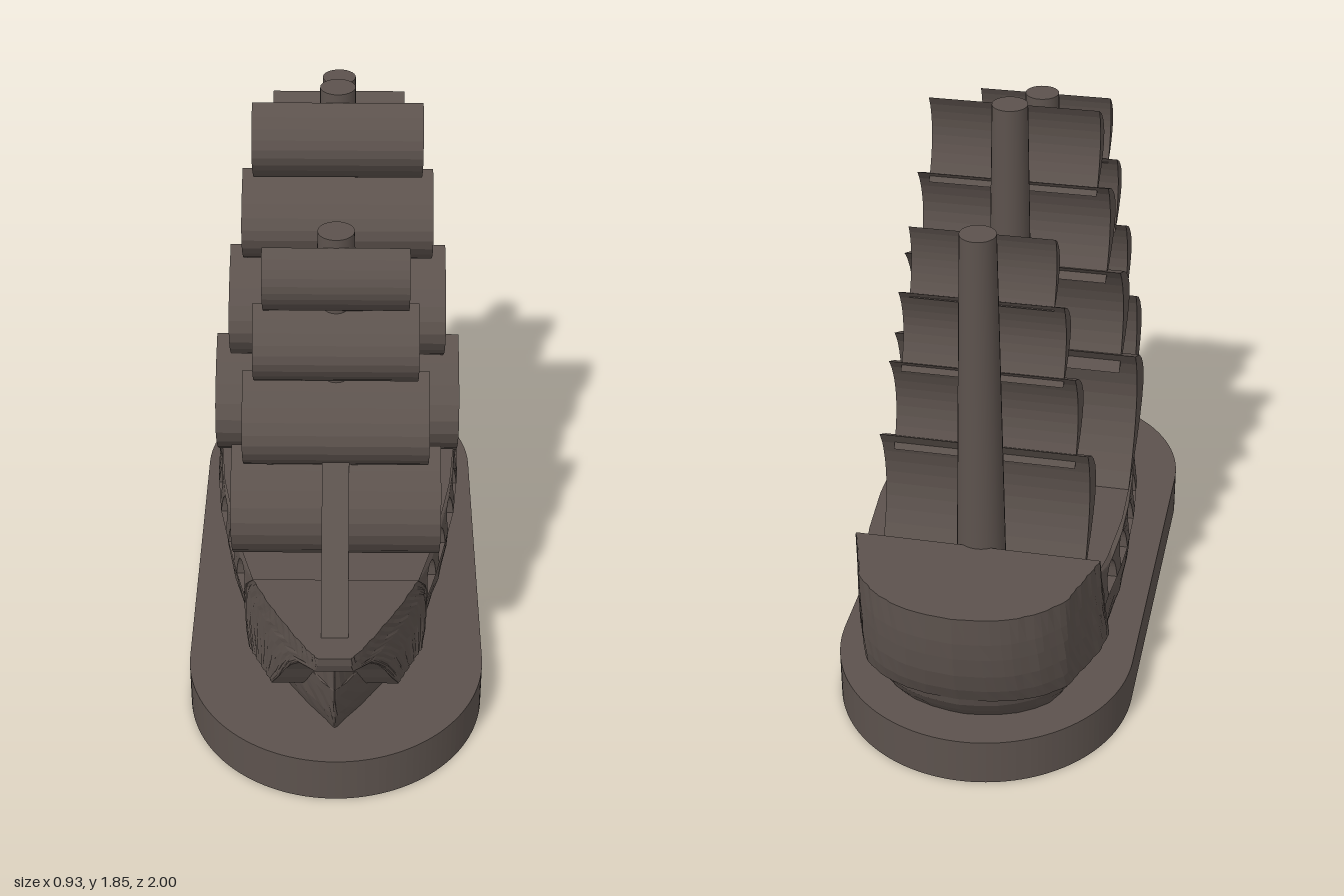
import * as THREE from 'three';

const wood = new THREE.MeshStandardMaterial({ color: 0x5c524d });
wood.name = 'dark wood';

// piecewise-linear lookup, table sorted by ascending first value
function lerpTable(table, v) {
  if (v <= table[0][0]) return table[0][1];
  for (let i = 1; i < table.length; i++) {
    const [a, p] = table[i - 1], [b, q] = table[i];
    if (v <= b) return p + (q - p) * (v - a) / (b - a);
  }
  return table[table.length - 1][1];
}

// half width of the ship along z
const PLAN = [[-1, 0], [-0.99, 0.1], [-0.965, 0.17], [-0.93, 0.23], [-0.86, 0.3], [-0.64, 0.37], [-0.5, 0.395],
  [-0.3, 0.41], [-0.1, 0.405], [0.1, 0.385], [0.27, 0.35], [0.45, 0.31], [0.6, 0.265], [0.77, 0.185],
  [0.9, 0.11], [0.97, 0.065], [1, 0.04]];
const plan = z => lerpTable(PLAN, z);

// mirrored horizontal outlines stacked from bottom to top; levels are {y, z0, z1}
function loft(levels, width, rough = 0) {
  const n = 33, m = 2 * n, pos = [], idx = [];
  levels.forEach((L, j) => {
    const half = [];
    for (let i = 0; i < n; i++) {
      const t = (1 - Math.cos(Math.PI * i / (n - 1))) / 2;
      const z = L.z0 + (L.z1 - L.z0) * t;
      const bump = rough * Math.sin(i * 2.3 + j * 4.1) * Math.sin(i * 0.9 - j * 1.7);
      half.push([Math.max(0.001, width(z, L) + bump), z]);
    }
    half.forEach(([x, z]) => pos.push(x, L.y, z));
    half.reverse().forEach(([x, z]) => pos.push(-x, L.y, z));
  });
  const last = (levels.length - 1) * m;
  for (let j = 0; j < levels.length - 1; j++) {
    for (let i = 0; i < m; i++) {
      const k = (i + 1) % m, a = j * m + i, b = j * m + k;
      idx.push(a, a + m, b + m, a, b + m, b);
    }
  }
  for (let i = 0; i < n - 1; i++) {
    const l = m - 1 - i;
    idx.push(last + i, last + l, last + l - 1, last + i, last + l - 1, last + i + 1);
    idx.push(i, l - 1, l, i, i + 1, l - 1);
  }
  const g = new THREE.BufferGeometry();
  g.setAttribute('position', new THREE.Float32BufferAttribute(pos, 3));
  g.setIndex(idx);
  const flat = g.toNonIndexed();
  flat.computeVertexNormals();
  return flat;
}

// extrude a (z, y) side profile across x, from x = -depth to 0
function sideExtrude(shape, depth) {
  return new THREE.ExtrudeGeometry(shape, { depth, bevelEnabled: false, curveSegments: 8 }).rotateY(-Math.PI / 2);
}
const shapeOf = pts => new THREE.Shape(pts.map(([z, y]) => new THREE.Vector2(z, y)));

export function createModel() {
  const ship = new THREE.Group();
  const add = (name, geometry, parent = ship) => {
    const mesh = new THREE.Mesh(geometry, wood);
    mesh.name = name;
    parent.add(mesh);
    return mesh;
  };

  // rounded display base
  const r = 0.465, s = new THREE.Shape();
  s.absarc(0, 0.515, r, 0, Math.PI, false);
  s.absarc(0, -0.515, r, Math.PI, 2 * Math.PI, false);
  s.closePath();
  add('base', new THREE.ExtrudeGeometry(s, { depth: 0.155, bevelEnabled: false, curveSegments: 32 })
    .rotateX(-Math.PI / 2));

  // hull, set in behind the gun ports above y = 0.39
  const hullLevels = [[0.15, -0.85, 0.83, 0.87], [0.2, -0.89, 0.86, 0.91], [0.25, -0.925, 0.885, 0.94],
    [0.3, -0.94, 0.9, 0.955], [0.345, -0.945, 0.912, 0.96], [0.385, -0.95, 0.92, 0.955],
    [0.39, -0.95, 0.921, 0.87], [0.54, -0.95, 0.93, 0.87]]
    .map(([y, z0, z1, k]) => ({ y, z0, z1, k }));
  add('hull', loft(hullLevels, (z, L) => {
    const t = z > 0 ? z / L.z1 : -z / L.z0;
    return L.k * plan(t) * (t > 0 ? Math.sqrt(Math.max(0, 1 - t ** 6)) : 1);
  }, 0.004));

  // bulwarks with a row of arched gun ports, bent to the ship's plan
  const edge = [];
  for (let i = 0; i <= 40; i++) edge.push([-0.62 + 1.25 * i / 40, 0.385]);
  const bandShape = shapeOf([...edge, ...edge.map(([z]) => [z, 0.54]).reverse()]);
  for (let i = 0; i < 7; i++) {
    const z = 0.465 - i * 0.1575, port = new THREE.Path();
    port.moveTo(z - 0.05, 0.415);
    port.lineTo(z + 0.05, 0.415);
    port.lineTo(z + 0.05, 0.44);
    port.absellipse(z, 0.44, 0.05, 0.065, 0, Math.PI, false);
    port.closePath();
    bandShape.holes.push(port);
  }
  const depth = 0.06;
  for (const side of [1, -1]) {
    const g = sideExtrude(bandShape, depth), p = g.attributes.position;
    for (let i = 0; i < p.count; i++) {
      const outer = plan(p.getZ(i)) * (1 - 0.05 * (p.getY(i) - 0.385) / 0.155);
      p.setX(i, side > 0 ? outer + p.getX(i) : -outer + p.getX(i) + depth);
    }
    g.computeVertexNormals();
    add(side > 0 ? 'leftBulwark' : 'rightBulwark', g);
  }

  // forecastle, overhanging the bow
  const fore = [[0.28, 0.61, 0.77], [0.34, 0.59, 0.81], [0.41, 0.575, 0.85], [0.46, 0.58, 0.885],
    [0.5, 0.585, 0.92], [0.53, 0.6, 0.99], [0.56, 0.625, 1], [0.588, 0.65, 1]]
    .map(([y, z0, z1]) => ({ y, z0, z1 }));
  add('forecastle', loft(fore, z => plan(z) + 0.008, 0.003));

  // stern castle, rounded at the back
  const aft = [[0.28, -0.935, -0.55], [0.34, -0.965, -0.567], [0.41, -0.985, -0.59], [0.48, -0.995, -0.61],
    [0.54, -1, -0.628], [0.63, -1, -0.645]]
    .map(([y, z0, z1]) => ({ y, z0, z1 }));
  add('sternCastle', loft(aft, (z, L) => {
    const t = z < -0.64 ? -0.64 + (z + 0.64) * 0.36 / (-0.64 - L.z0) : z;
    return plan(t) + (t > -0.98 ? 0.006 : 0);
  }, 0.003));

  // curved sail: top, bottom and peak in (z, y), extruded across the ship
  function sail([zt, yt, zb, yb, peak, half]) {
    const bulge = peak - (zt + zb) / 2, n = 10;
    const arc = b => Array.from({ length: n + 1 }, (_, i) => {
      const t = i / n;
      return [zt + (zb - zt) * t + b * Math.sin(Math.PI * t) ** 0.8, yt + (yb - yt) * t];
    });
    const outer = arc(bulge), inner = arc(bulge * 0.37).reverse().slice(1, -1);
    return sideExtrude(shapeOf([...outer, ...inner]), 2 * half).translate(half, 0, 0);
  }

  // rigs: a tapered mast with four sails each
  const smallSails = [
    [0.445, 1.63, 0.43, 1.41, 0.515, 0.21],
    [0.42, 1.43, 0.42, 1.165, 0.543, 0.24],
    [0.42, 1.195, 0.44, 0.875, 0.58, 0.275],
    [0.43, 0.93, 0.4, 0.51, 0.602, 0.315]];
  const mainSails = [
    [-0.075, 1.82, -0.1, 1.555, 0.028, 0.255],
    [-0.1, 1.585, -0.11, 1.27, 0.067, 0.29],
    [-0.11, 1.31, -0.075, 0.935, 0.113, 0.335],
    [-0.075, 1, -0.14, 0.535, 0.147, 0.385]];
  function rig(name, mastZ, top, sails, shift) {
    const group = new THREE.Group();
    group.name = name;
    const mast = new THREE.CylinderGeometry(0.053, 0.076, top - 0.5, 28);
    add('mast', mast.translate(0, (top + 0.5) / 2, mastZ), group);
    sails.forEach((d, i) => add('sail' + (i + 1), sail(d).translate(0, 0, shift), group));
    ship.add(group);
  }
  rig('foreRig', 0.393, 1.655, smallSails, 0);
  rig('mainRig', -0.13, 1.845, mainSails, 0);
  rig('aftRig', -0.585, 1.655, smallSails, -0.978);

  // triangular jib ahead of the fore sails
  add('jib', sideExtrude(shapeOf([[0.5, 0.57], [0.92, 0.57], [0.91, 0.59], [0.57, 0.97], [0.545, 0.95], [0.53, 0.7]]), 0.08)
    .translate(0.04, 0, 0));

  return ship;
}
